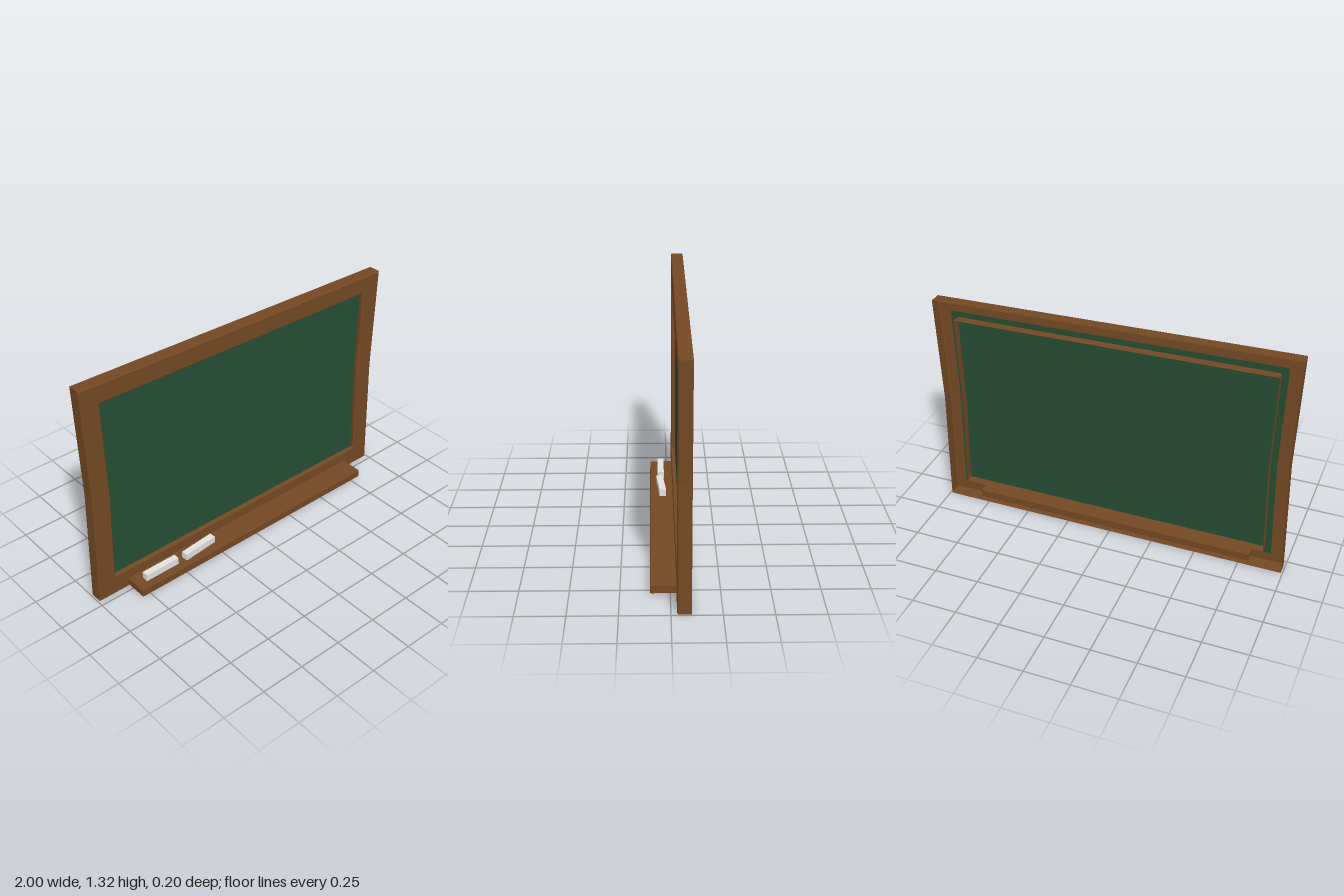
import * as THREE from 'three';
import { RoundedBoxGeometry } from 'three/addons/geometries/RoundedBoxGeometry.js';

const material = (name, color) => {
  const m = new THREE.MeshStandardMaterial({ color, side: THREE.DoubleSide });
  m.name = name;
  return m;
};

// Slightly crooked outlines, counter-clockwise from the bottom left corner
const OUTER = [[-0.99, 0], [0.99, 0], [0.978, 0.67], [1, 1.27], [-1, 1.32], [-0.978, 0.67]];
const INNER = [[-0.883, 0.117], [0.88, 0.117], [0.868, 0.655], [0.88, 1.172], [-0.888, 1.208], [-0.873, 0.655]];

// Frame section: fraction from outer to inner edge, and z. The back is open.
const SECTION = [[0, -0.1], [0, -0.035], [0.05, -0.03], [0.95, -0.03], [1, -0.035], [1, -0.1]];

function frameGeometry() {
  const point = (i, [t, z]) => {
    const k = i % OUTER.length;
    return [
      THREE.MathUtils.lerp(OUTER[k][0], INNER[k][0], t),
      THREE.MathUtils.lerp(OUTER[k][1], INNER[k][1], t),
      z,
    ];
  };
  const positions = [];
  for (let i = 0; i < OUTER.length; i++) {
    for (let j = 0; j < SECTION.length - 1; j++) {
      const a = point(i, SECTION[j]), b = point(i + 1, SECTION[j]);
      const c = point(i + 1, SECTION[j + 1]), d = point(i, SECTION[j + 1]);
      positions.push(...a, ...b, ...c, ...a, ...c, ...d);
    }
  }
  const geometry = new THREE.BufferGeometry();
  geometry.setAttribute('position', new THREE.Float32BufferAttribute(positions, 3));
  geometry.computeVertexNormals();
  return geometry;
}

export function createModel() {
  const wood = material('brown wood', 0x744924);
  const green = material('board green', 0x264d33);
  const white = material('chalk white', 0xe2e2e2);

  const model = new THREE.Group();
  model.name = 'chalkboard';
  const add = (name, geometry, mat, x = 0, y = 0, z = 0) => {
    const mesh = new THREE.Mesh(geometry, mat);
    mesh.name = name;
    mesh.position.set(x, y, z);
    model.add(mesh);
    return mesh;
  };

  add('frame', frameGeometry(), wood);

  // Writing surface, reaching a little way into the hollow frame
  const outline = INNER.map(([x, y], i) => new THREE.Vector2(
    THREE.MathUtils.lerp(x, OUTER[i][0], 0.32),
    THREE.MathUtils.lerp(y, OUTER[i][1], 0.32)));
  add('writingSurface', new THREE.ShapeGeometry(new THREE.Shape(outline)), green, 0, 0, -0.054);

  // Ledge passing through the front of the frame
  add('chalkTray', new RoundedBoxGeometry(1.61, 0.046, 0.18, 1, 0.005), wood, 0, 0.034, 0.01);

  // Two sticks of chalk, the second one askew
  [[-0.637, 0.037, 0], [-0.377, 0.036, 0.09]].forEach(([x, z, turn], i) => {
    const stick = add(`chalk${i + 1}`, new THREE.BoxGeometry(0.213, 0.04, 0.037), white, x, 0.077, z);
    stick.rotation.y = turn;
  });

  return model;
}
